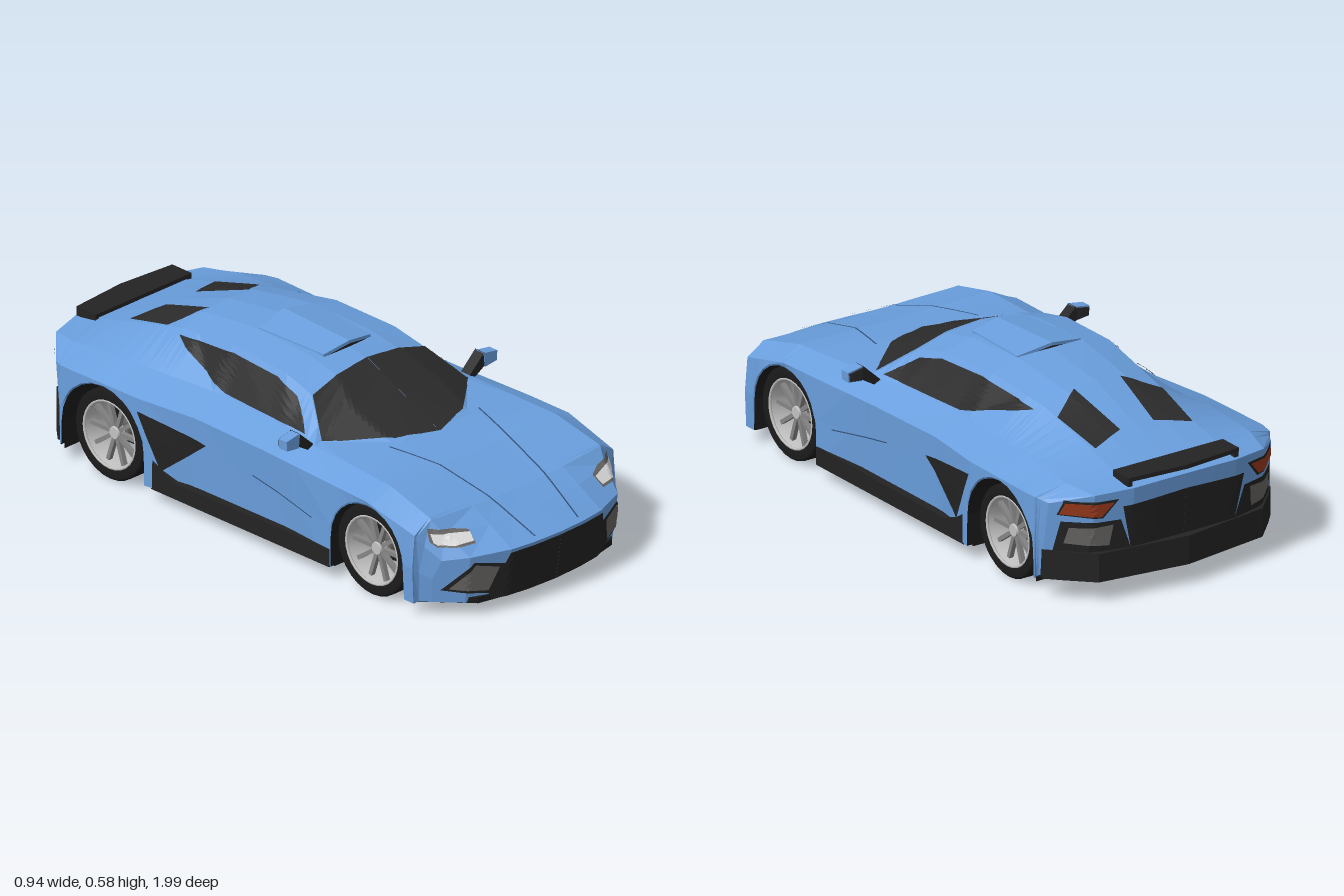
import * as THREE from 'three';

const mat = (name, color, side = THREE.FrontSide) => {
  const m = new THREE.MeshStandardMaterial({ color, side });
  m.name = name;
  return m;
};
const V = (x, y, z) => new THREE.Vector3(x, y, z);
const clamp01 = t => Math.min(1, Math.max(0, t));

// Body rails, each key is [z, x, y], from nose to tail
const RAILS = {
  sill: [[.99, .4, .048], [.78, .45, .048], [.4, .447, .048], [.2, .425, .048], [-.25, .42, .048], [-.42, .455, .05], [-.8, .46, .07], [-.985, .43, .08]],
  waist: [[.99, .405, .13], [.78, .455, .17], [.4, .45, .2], [.15, .43, .21], [-.22, .425, .22], [-.45, .46, .22], [-.75, .467, .22], [-.985, .44, .2]],
  shoulder: [[.99, .39, .2], [.78, .445, .285], [.57, .455, .338], [.4, .45, .342], [.1, .435, .345], [-.22, .43, .348], [-.45, .46, .35], [-.75, .467, .352], [-.985, .435, .335]],
  belt: [[.99, .33, .215], [.8, .38, .322], [.6, .37, .372], [.4, .36, .38], [.24, .355, .385], [.12, .337, .39], [-.2, .315, .395], [-.6, .355, .4], [-.85, .36, .383], [-.985, .33, .37]],
  edge: [[.99, .2, .22], [.8, .2, .315], [.6, .2, .37], [.41, .16, .39], [.24, .325, .39], [.12, .25, .49], [0, .242, .52], [-.25, .23, .53], [-.5, .207, .495], [-.75, .2, .43], [-.9, .2, .39], [-.985, .2, .377]],
  spine: [[.99, 0, .22], [.8, 0, .31], [.6, 0, .368], [.43, 0, .39], [.12, 0, .53], [0, 0, .553], [-.25, 0, .563], [-.5, 0, .53], [-.75, 0, .44], [-.9, 0, .393], [-.985, 0, .38]],
};
const ARCHES = [{ z: .57, r: .165, x: .438 }, { z: -.61, r: .182, x: .448 }];
const HUB_Y = .155;

function rail(keys, z) {
  let i = 0;
  while (i < keys.length - 2 && z < keys[i + 1][0]) i++;
  const [a, b] = [keys[i], keys[i + 1]], t = clamp01((z - a[0]) / (b[0] - a[0]));
  return [a[1] + (b[1] - a[1]) * t, a[2] + (b[2] - a[2]) * t];
}

// Wraps the nose and tail round the corners and leans their faces
function bend(x, y, z) {
  const f = clamp01((z - .78) / .21), r = clamp01((-z - .8) / .18), corner = Math.max(0, x - .3);
  return V(x, y, z - f * (.45 * x * x + .8 * corner + .15 * Math.max(0, .22 - y))
    + r * (.1 * x * x + .9 * corner + .1 * Math.max(0, .36 - y)));
}

function section(z) {
  const p = Object.values(RAILS).map(k => rail(k, z));
  for (const a of ARCHES) {
    const d = Math.abs(z - a.z);
    if (d <= a.r + 1e-6) p[0][1] = HUB_Y + Math.sqrt(Math.max(0, a.r * a.r - d * d));
  }
  p[1][1] = Math.max(p[1][1], p[0][1] + .006);
  p.splice(5, 0, [p[4][0] * .55, p[4][1] + (p[5][1] - p[4][1]) * .75]);
  return p.map(([x, y]) => bend(x, y, z));
}

function bodyRows() {
  const zs = new Set(Object.values(RAILS).flatMap(k => k.map(r => r[0])));
  zs.add(.88);
  for (const { z, r } of ARCHES) {
    for (let i = 0; i <= 12; i++) zs.add(z + r * Math.cos(Math.PI * i / 12));
    zs.add(z + r + .002).add(z - r - .002);
  }
  return [...zs].sort((a, b) => b - a).map(section);
}

function fromTriangles(list) {
  const g = new THREE.BufferGeometry().setFromPoints(list);
  g.computeVertexNormals();
  return g;
}

function mirrored(geo) {
  const g = geo.index ? geo.toNonIndexed() : geo, p = g.attributes.position, out = [];
  for (let i = 0; i < p.count; i += 3)
    for (const k of [0, 2, 1]) out.push(V(-p.getX(i + k), p.getY(i + k), p.getZ(i + k)));
  return fromTriangles(out);
}

// Skin over rows of points, each row running upwards on the left side
function skin(rows) {
  const out = [];
  for (let i = 0; i < rows.length - 1; i++)
    for (let j = 0; j < rows[i].length - 1; j++) {
      const a = rows[i][j], b = rows[i][j + 1], c = rows[i + 1][j + 1], d = rows[i + 1][j];
      out.push(a, c, b, a, d, c);
    }
  return out;
}

// Half of a nose or tail face
function endCap(p, z, flip) {
  const out = [], face = (a, b, c) => flip ? out.push(a, c, b) : out.push(a, b, c);
  const low = p.map(q => bend(q.x, p[0].y, z));
  for (let j = 0; j < 3; j++) face(low[3], p[j], p[j + 1]);
  for (let j = 3; j < 6; j++) { face(low[j + 1], low[j], p[j]); face(low[j + 1], p[j], p[j + 1]); }
  return out;
}

const shapeOf = pts => new THREE.Shape(pts.map(p => new THREE.Vector2(...p)));
const extrude = (pts, depth) => new THREE.ExtrudeGeometry(shapeOf(pts), { depth, bevelEnabled: false });
// Outline in x,z hung below height y
const planPlate = (pts, y, depth) => extrude(pts, depth).rotateX(Math.PI / 2).translate(0, y, 0);
// Outline in z,y reaching inwards from x
const sidePlate = (pts, x, depth) => extrude(pts, depth).rotateY(-Math.PI / 2).translate(x, 0, 0);

export function createModel() {
  const car = new THREE.Group();
  car.name = 'sportsCar';
  const blue = mat('bodyBlue', 0x6a9fde, THREE.DoubleSide), glass = mat('darkGlass', 0x2b2b2b), trim = mat('blackTrim', 0x232323),
    rubber = mat('tyreRubber', 0x1b1b1b, THREE.DoubleSide), grey = mat('meshGrey', 0x686664), spokeGrey = mat('spokeGrey', 0x868686),
    silver = mat('rimSilver', 0xc2c2c2, THREE.DoubleSide), white = mat('lampWhite', 0xdedede), red = mat('lampRed', 0x98381c),
    seam = mat('seamBlue', 0x34537c);
  const add = (name, geo, m, parent = car) => {
    const o = new THREE.Mesh(geo, m);
    o.name = name;
    parent.add(o);
    return o;
  };
  const addPair = (name, geo, m) => [add(name + 'Left', geo, m), add(name + 'Right', mirrored(geo), m)];

  // Shell and the dark return along its lower edge
  const rows = bodyRows();
  const half = [...skin(rows), ...endCap(rows[0], .99, false), ...endCap(rows[rows.length - 1], -.985, true)];
  const [shell] = addPair('body', fromTriangles(half), blue);
  shell.updateMatrixWorld(true);
  addPair('archLip', fromTriangles(skin(rows.map(p => [V(p[0].x - .035, p[0].y, p[0].z), p[0]]))), rubber);

  // Thin panel: an outline laid onto the body from one direction, on both halves
  const ray = new THREE.Raycaster();
  const CAST = {
    top: (u, v) => [V(u, 2, v), V(0, -1, 0)],
    side: (u, v) => [V(2, v, u), V(-1, 0, 0)],
    front: (u, v) => [V(u, v, 2), V(0, 0, -1)],
    back: (u, v) => [V(u, v, -2), V(0, 0, 1)],
  };
  function panel(name, m, from, pts, lift = .005, levels = 3) {
    const hitAt = (u, v) => {
      for (const n of [1e-5, 4e-4, -4e-4]) {
        ray.set(...CAST[from](u + n, v + n * .7));
        const h = ray.intersectObject(shell)[0];
        if (h) return h.point.clone().addScaledVector(h.face.normal, lift);
      }
      return null;
    };
    const out = [], mid = (a, b) => [(a[0] + b[0]) / 2, (a[1] + b[1]) / 2];
    const split = (a, b, c, level) => {
      if (level) {
        const ab = mid(a, b), bc = mid(b, c), ca = mid(c, a);
        for (const t of [[a, ab, ca], [ab, b, bc], [ca, bc, c], [ab, bc, ca]]) split(...t, level - 1);
        return;
      }
      const [p, q, r] = [a, b, c].map(s => hitAt(...s));
      if (!p || !q || !r) return;
      const n = q.clone().sub(p).cross(r.clone().sub(p));
      if (n.dot(ray.ray.direction) < 0) out.push(p, q, r); else out.push(p, r, q);
    };
    const v2 = pts.map(p => new THREE.Vector2(...p));
    for (const t of THREE.ShapeUtils.triangulateShape(v2, [])) split(...t.map(i => pts[i]), levels);
    addPair(name, fromTriangles(out), m);
  }

  // Glass
  panel('windscreen', glass, 'top', [[0, .45], [.15, .398], [.327, .245], [.25, .125], [0, .118]], .005, 4);
  panel('sideWindow', glass, 'side', [[.185, .398], [.08, .475], [-.02, .503], [-.23, .511], [-.485, .48], [-.2, .402]], .009, 4);
  panel('rearVent', glass, 'top', [[.19, -.755], [.065, -.715], [.09, -.5], [.205, -.57]]);

  // Nose details
  panel('grille', trim, 'front', [[0, .213], [.203, .211], [.268, .05], [0, .05]], .005, 4);
  panel('intakeFrame', trim, 'front', [[.215, .175], [.318, .196], [.385, .095], [.255, .073]]);
  panel('intakeMesh', grey, 'front', [[.235, .168], [.313, .188], [.368, .101], [.262, .086]], .008);
  panel('headlampFrame', grey, 'front', [[.277, .275], [.4, .298], [.402, .256], [.388, .24], [.285, .242]]);
  panel('headlampLens', white, 'front', [[.28, .269], [.394, .281], [.394, .254], [.385, .246], [.287, .247]], .008);
  panel('bonnetSeam', seam, 'top', [[.093, .97], [.099, .97], [.155, .6], [.203, .42], [.197, .42], [.149, .6]]);

  // Flank details
  panel('sideIntake', trim, 'side', [[-.17, .27], [-.45, .308], [-.36, .12]], .006);
  panel('doorSeam', seam, 'side', [[.32, .19], [.04, .238], [.04, .242], [.32, .194]], .004);
  addPair('sideSkirt', sidePlate([[.4, .045], [-.4, .045], [-.427, .17], [-.36, .125], [-.3, .1], [.4, .108]], .45, .07), trim);

  // Tail details
  panel('tailPanel', trim, 'back', [[0, .33], [.235, .32], [.2, .16], [0, .16]]);
  panel('tailVentFrame', trim, 'back', [[.24, .275], [.405, .275], [.42, .165], [.2, .165]]);
  panel('tailVent', grey, 'back', [[.265, .262], [.385, .255], [.395, .2], [.275, .19]], .008);
  panel('tailLampFrame', trim, 'back', [[.25, .349], [.4, .347], [.415, .298], [.3, .288]]);
  panel('tailLamp', red, 'back', [[.265, .341], [.396, .341], [.41, .302], [.305, .295]], .008);
  addPair('rearBumper', planPlate([[0, -.8], [.44, -.8], [.445, -.825], [.4, -.875], [.32, -.955], [0, -1]], .17, .098), trim);

  // Spoiler
  addPair('spoiler', planPlate([[0, -.99], [.215, -.972], [.215, -.885], [0, -.885]], .411, .014), trim);
  addPair('spoilerEnd', new THREE.BoxGeometry(.016, .03, .085).translate(.207, .395, -.928), trim);

  // Raised roof scoop over a dark slot
  const scoop = (name, m, y, s) => {
    const g = planPlate([[0, .04], [.105 * s, .03], [.125 * s, -.24], [0, -.255]], y, .026);
    const p = g.attributes.position;
    for (let i = 0; i < p.count; i++)
      p.setY(i, p.getY(i) - .17 * Math.abs(p.getX(i)) - .045 * (p.getZ(i) + .25));
    g.computeVertexNormals();
    addPair(name, g, m);
  };
  scoop('roofScoop', blue, .58, 1);
  scoop('roofSlot', trim, .569, 1.02);

  // Door mirrors
  addPair('mirrorArm', extrude([[.34, .378], [.375, .375], [.425, .405], [.415, .447]], .04).translate(0, 0, .19), trim);
  addPair('mirrorHousing', extrude([[.417, .396], [.47, .402], [.472, .436], [.412, .446]], .036).translate(0, 0, .196), blue);
  addPair('mirrorGlass', extrude([[.421, .401], [.466, .406], [.468, .432], [.417, .441]], .006).translate(0, 0, .19), glass);

  // Floor in three plates, the rear one raised
  addPair('noseFloor', planPlate([[0, .961], [.2, .943], [.3, .92], [.33, .887], [.393, .815], [.43, .775], [.443, .737],
    [.27, .737], [.27, .405], [0, .405]], .066, .02), rubber);
  addPair('midFloor', planPlate([[0, .41], [.43, .405], [.43, -.428], [0, -.428]], .068, .024), rubber);
  addPair('rearFloor', planPlate([[0, -.42], [.27, -.42], [.27, -.794], [.43, -.794], [.39, -.87], [0, -.96]], .1, .025), rubber);

  // Wheel wells, open below and outwards
  for (const { z, r, x } of ARCHES) {
    const arc = [[z + r, .052]];
    for (let i = 0; i <= 12; i++) arc.push([z + r * Math.cos(Math.PI * i / 12), HUB_Y + r * Math.sin(Math.PI * i / 12)]);
    arc.push([z - r, .052]);
    const strips = arc.map(([w, y]) => [V(.27, y, w), V(x, y, w)]), tris = skin(strips);
    for (let i = 1; i < arc.length - 1; i++) tris.push(strips[0][0], strips[i + 1][0], strips[i][0]);
    addPair('wheelWell', fromTriangles(tris), rubber);
  }

  // Open wheels: axis along y, outer face up, then turned sideways
  const lathe = pts => new THREE.LatheGeometry(pts.map(p => new THREE.Vector2(...p)), 28);
  const tyre = lathe([[.118, -.062], [.146, -.065], [.155, -.058], [.155, .058], [.146, .065], [.118, .062]]);
  const rim = lathe([[.12, .062], [.114, .058], [.108, 0], [.114, -.058], [.12, -.062]]);
  const lip = new THREE.TorusGeometry(.116, .005, 6, 28).rotateX(Math.PI / 2).translate(0, .059, 0);
  const disc = new THREE.CylinderGeometry(.04, .04, .05, 20).translate(0, -.01, 0);
  const hub = new THREE.CylinderGeometry(.02, .028, .025, 12).translate(0, .03, 0);
  const spoke = new THREE.BoxGeometry(.014, .016, .095).translate(0, .028, .066);
  for (const { z } of ARCHES)
    for (const s of [1, -1]) {
      const w = new THREE.Group();
      w.name = (z > 0 ? 'front' : 'rear') + 'Wheel' + (s > 0 ? 'Left' : 'Right');
      add('tyre', tyre, rubber, w);
      add('rim', rim, silver, w);
      add('rimLip', lip, silver, w);
      add('brakeDisc', disc, grey, w);
      add('hub', hub, silver, w);
      for (let i = 0; i < 10; i++) add('spoke', spoke, spokeGrey, w).rotation.y = i * Math.PI / 5;
      w.rotation.z = -s * Math.PI / 2;
      w.position.set(s * .366, HUB_Y, z);
      car.add(w);
    }
  return car;
}
